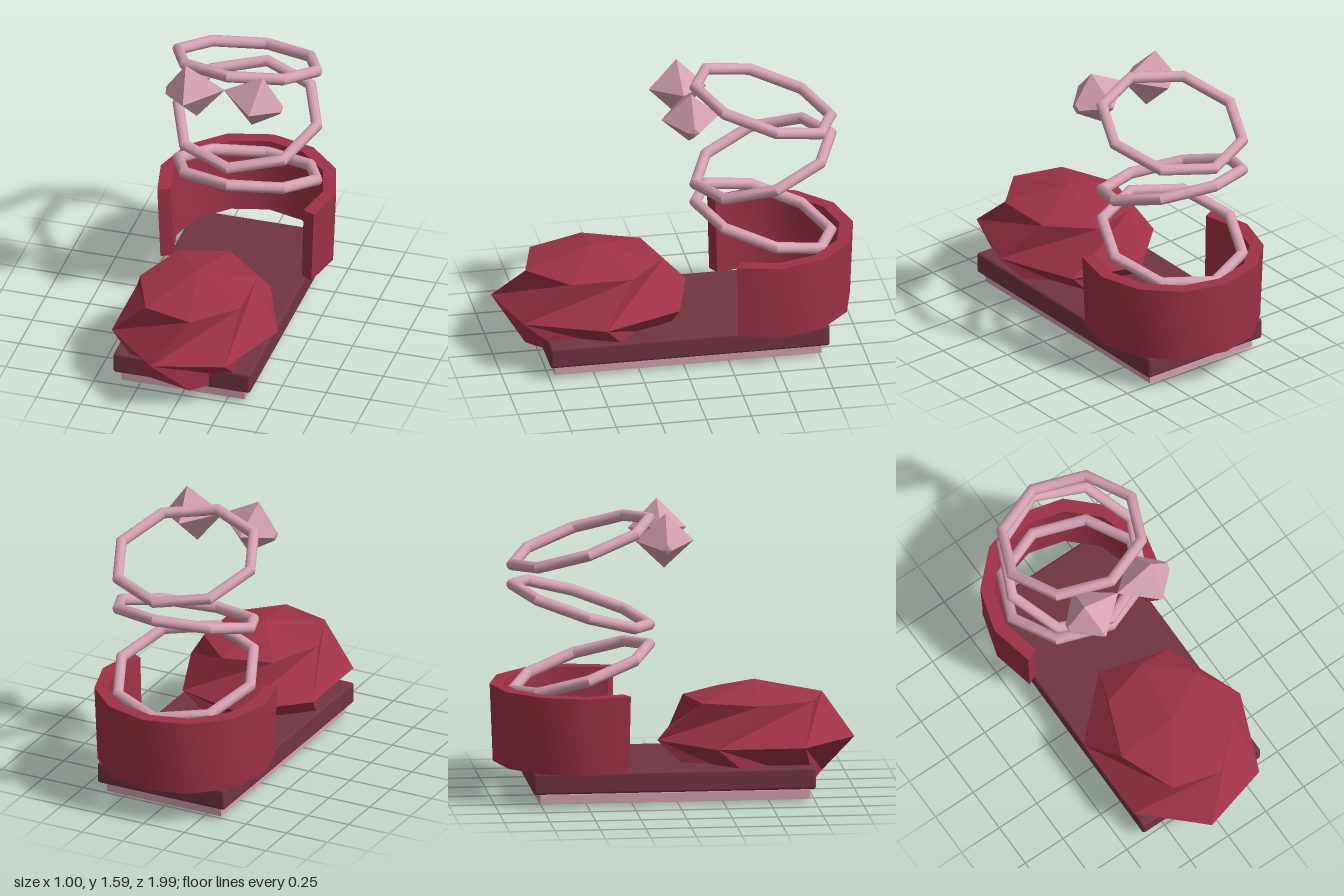
import * as THREE from 'three';
import { toCreasedNormals } from 'three/addons/utils/BufferGeometryUtils.js';
import { RoundedBoxGeometry } from 'three/addons/geometries/RoundedBoxGeometry.js';

const makeMaterial = (name, color) => {
  const m = new THREE.MeshStandardMaterial({ color });
  m.name = name;
  return m;
};

// Seven-sided toe cap whose middle ring is twisted half a step, giving pleated facets
function toeGeometry(rx, ry, rz) {
  const n = 7, step = (Math.PI * 2) / n, pos = [];
  const point = (i, lat, twist) => {
    const a = i * step - twist;
    return [rx * Math.cos(lat) * Math.cos(a), ry * Math.sin(lat), rz * Math.cos(lat) * Math.sin(a)];
  };
  for (const s of [1, -1]) {
    const tri = (a, b, c) => pos.push(...a, ...(s > 0 ? [...b, ...c] : [...c, ...b]));
    for (let i = 0; i < n; i++) {
      const right = point(i, 0, 0), left = point(i + 1, 0, 0);
      const ringRight = point(i, s * Math.PI / 4, step / 2);
      const ringLeft = point(i + 1, s * Math.PI / 4, step / 2);
      tri(left, right, ringRight);
      tri(left, ringRight, ringLeft);
      tri(ringLeft, ringRight, [0, s * ry, 0]);
    }
  }
  const g = new THREE.BufferGeometry();
  g.setAttribute('position', new THREE.Float32BufferAttribute(pos, 3));
  g.computeVertexNormals();
  return g;
}

// Open heel wall, slightly narrower at the bottom
function heelGeometry(outer, inner, height) {
  const half = Math.PI * 0.65, steps = 8, pts = [];
  const at = (r, t) => {
    const a = -half + 2 * half * t;
    return new THREE.Vector2(r * Math.sin(a), r * Math.cos(a));
  };
  for (let i = 0; i <= steps; i++) pts.push(at(outer, i / steps));
  for (let i = steps; i >= 0; i--) pts.push(at(inner, i / steps));
  const g = new THREE.ExtrudeGeometry(new THREE.Shape(pts), { depth: height, bevelEnabled: false });
  g.rotateX(-Math.PI / 2);
  const p = g.attributes.position;
  for (let i = 0; i < p.count; i++) {
    const k = THREE.MathUtils.lerp(0.965, 1, p.getY(i) / height);
    p.setX(i, p.getX(i) * k);
    p.setZ(i, p.getZ(i) * k);
  }
  return toCreasedNormals(g, 0.6);
}

// Four-sided bow loop: blunt outer end, wide middle, pointed inner end
function bowGeometry() {
  const profile = [[0, -0.145], [0.03, -0.14], [0.16, 0], [0, 0.195]].map(([x, y]) => new THREE.Vector2(x, y));
  const g = new THREE.LatheGeometry(profile, 4).toNonIndexed();
  g.computeVertexNormals();
  return g;
}

export function createModel() {
  const model = new THREE.Group();
  model.name = 'ribbonShoe';
  const wine = makeMaterial('wine red', 0x9e3247);
  const plum = makeMaterial('dark plum', 0x713442);
  const pink = makeMaterial('dusty pink', 0xd4a1b2);

  const add = (name, geometry, material, x, y, z, parent = model) => {
    const mesh = new THREE.Mesh(geometry, material);
    mesh.name = name;
    mesh.position.set(x, y, z);
    parent.add(mesh);
    return mesh;
  };

  // Sole layers
  add('sole', new RoundedBoxGeometry(0.78, 0.12, 1.55, 2, 0.015), plum, 0, 0.14, -0.025);
  add('outsole', new THREE.BoxGeometry(0.7, 0.05, 1.48), pink, 0, 0.047, -0.02);

  // Upper
  add('toeCap', toeGeometry(0.46, 0.31, 0.555), wine, 0, 0.315, 0.45);
  add('heelWall', heelGeometry(0.5, 0.425, 0.43), wine, 0, 0.2, -0.5);

  // Ankle ribbons, tilted alternately
  const ribbon = toCreasedNormals(new THREE.TorusGeometry(0.395, 0.032, 10, 8).rotateX(Math.PI / 2), 0.7);
  for (let i = 0; i < 3; i++) {
    const mesh = add('ankleRibbon' + (i + 1), ribbon, pink, 0, 0.71 + i * 0.35, -0.5);
    mesh.rotation.x = i % 2 ? 0.31 : -0.31;
  }

  // Bow loops meeting in the middle
  const loop = bowGeometry();
  for (const side of ['right', 'left']) {
    const half = new THREE.Group();
    half.name = side + 'Bow';
    half.position.z = -0.06;
    half.rotation.y = side === 'left' ? Math.PI : 0;
    add(side + 'BowLoop', loop, pink, -0.188, 1.443, 0, half).rotation.z = -Math.PI / 2 + 0.2;
    model.add(half);
  }
  return model;
}
